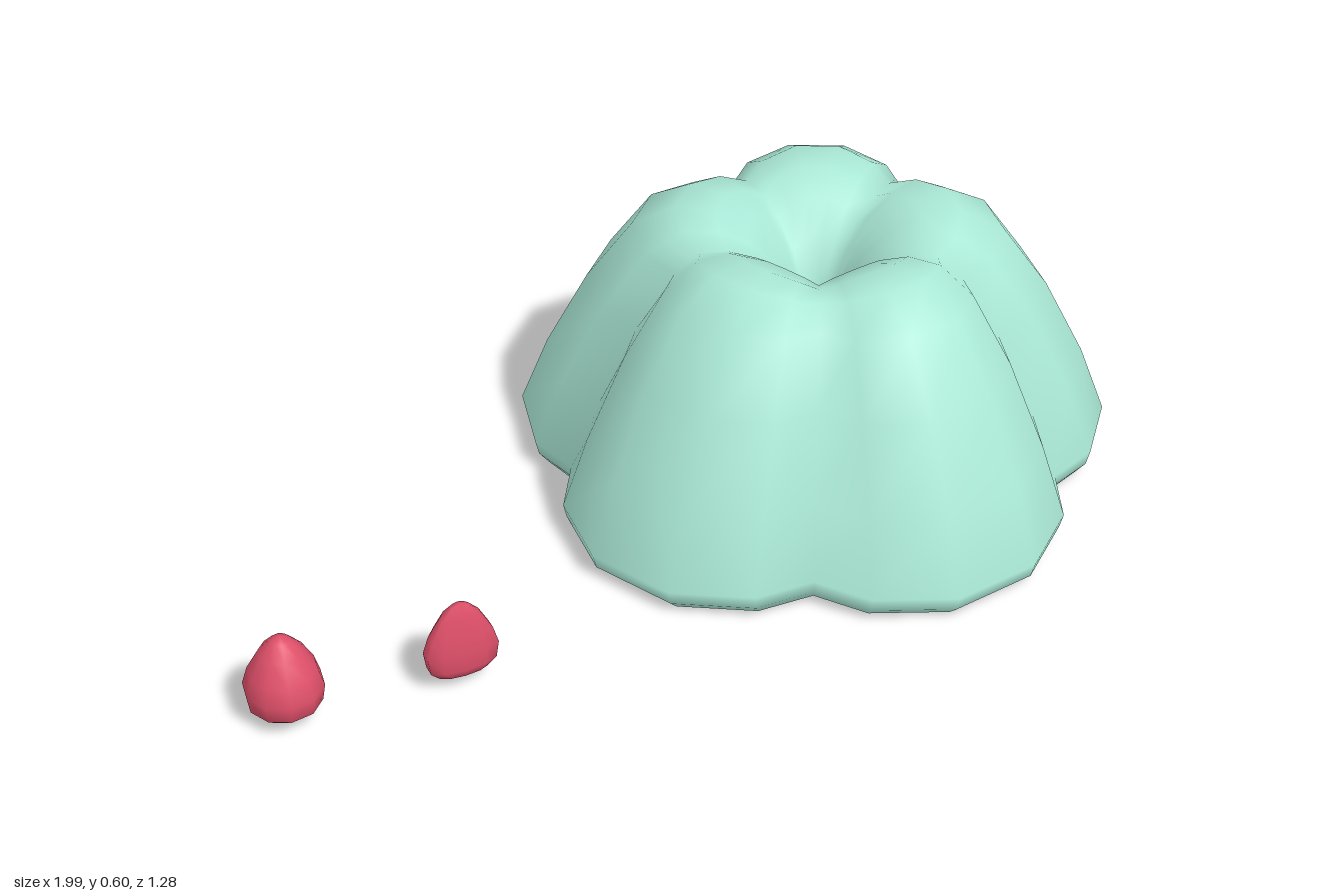
import * as THREE from 'three';
import { mergeVertices } from 'three/addons/utils/BufferGeometryUtils.js';

// Cross-sections of the fluted dome, from the lower lip over the top and down the centre tube: [radius, y]
const LOBE = [[0.615, 0], [0.64, 0.025], [0.65, 0.06], [0.59, 0.22], [0.5, 0.4], [0.4, 0.545], [0.305, 0.6],
  [0.22, 0.597], [0.15, 0.565], [0.09, 0.5], [0.05, 0.42], [0.037, 0.34], [0.055, 0.2]];
const VALLEY = [[0.525, 0.018], [0.54, 0.04], [0.545, 0.07], [0.485, 0.22], [0.4, 0.4], [0.315, 0.525], [0.26, 0.565],
  [0.2, 0.56], [0.14, 0.53], [0.085, 0.48], [0.046, 0.41], [0.037, 0.34], [0.055, 0.2]];

// Columns of one lobe: [angle in degrees, blend from valley to lobe]
const COLUMNS = [[-36, 0], [-24.7, 0.58], [-8.8, 1], [8.8, 1], [24.7, 0.58]];

function domeGeometry(lobes) {
  const positions = [], index = [];
  const cols = lobes * COLUMNS.length;
  LOBE.forEach(([lr, ly], row) => {
    const [vr, vy] = VALLEY[row];
    for (let l = 0; l < lobes; l++) {
      for (const [deg, t] of COLUMNS) {
        const a = THREE.MathUtils.degToRad(deg + l * 360 / lobes);
        const r = THREE.MathUtils.lerp(vr, lr, t);
        positions.push(r * Math.cos(a), THREE.MathUtils.lerp(vy, ly, t), r * Math.sin(a));
      }
    }
  });
  for (let row = 0; row < LOBE.length - 1; row++) {
    for (let c = 0; c < cols; c++) {
      const a = row * cols + c, b = row * cols + (c + 1) % cols;
      index.push(a, a + cols, b, b, a + cols, b + cols);
    }
  }
  const geo = new THREE.BufferGeometry();
  geo.setAttribute('position', new THREE.Float32BufferAttribute(positions, 3));
  geo.setIndex(index);
  geo.computeVertexNormals();
  return geo;
}

// Egg-shaped drop; front and back halves can be flattened separately
function dropGeometry(front, back) {
  const profile = [[0, 0], [0.055, 0.003], [0.076, 0.022], [0.082, 0.06], [0.07, 0.1], [0.045, 0.145], [0.02, 0.172], [0, 0.18]]
    .map(([r, y]) => new THREE.Vector2(r, y));
  let geo = new THREE.LatheGeometry(profile, 10);
  const p = geo.attributes.position;
  for (let i = 0; i < p.count; i++) {
    const z = p.getZ(i);
    p.setZ(i, z * (z > 0 ? front : back));
  }
  geo.deleteAttribute('uv');
  geo.deleteAttribute('normal');
  geo = mergeVertices(geo, 1e-5);
  geo.computeVertexNormals();
  return geo;
}

export function createModel() {
  const group = new THREE.Group();
  const green = new THREE.MeshStandardMaterial({ color: 0xaae8d6, side: THREE.DoubleSide });
  const red = new THREE.MeshStandardMaterial({ color: 0xe0506a });

  // Hollow five-lobed dome with a centre tube
  const dome = new THREE.Mesh(domeGeometry(5), green);
  dome.name = 'flutedDome';
  dome.position.x = 0.355;
  group.add(dome);

  // Round drop
  const drop = new THREE.Mesh(dropGeometry(1, 1), red);
  drop.name = 'roundDrop';
  drop.position.set(-0.918, 0.02, 0.54);
  group.add(drop);

  // Drop with a flattened front
  const flatDrop = new THREE.Mesh(dropGeometry(0.3, 0.82), red);
  flatDrop.name = 'flattenedDrop';
  flatDrop.position.set(-0.56, 0.033, 0.55);
  flatDrop.rotation.y = 0.15;
  flatDrop.scale.set(0.97, 0.98, 1);
  group.add(flatDrop);

  return group;
}
